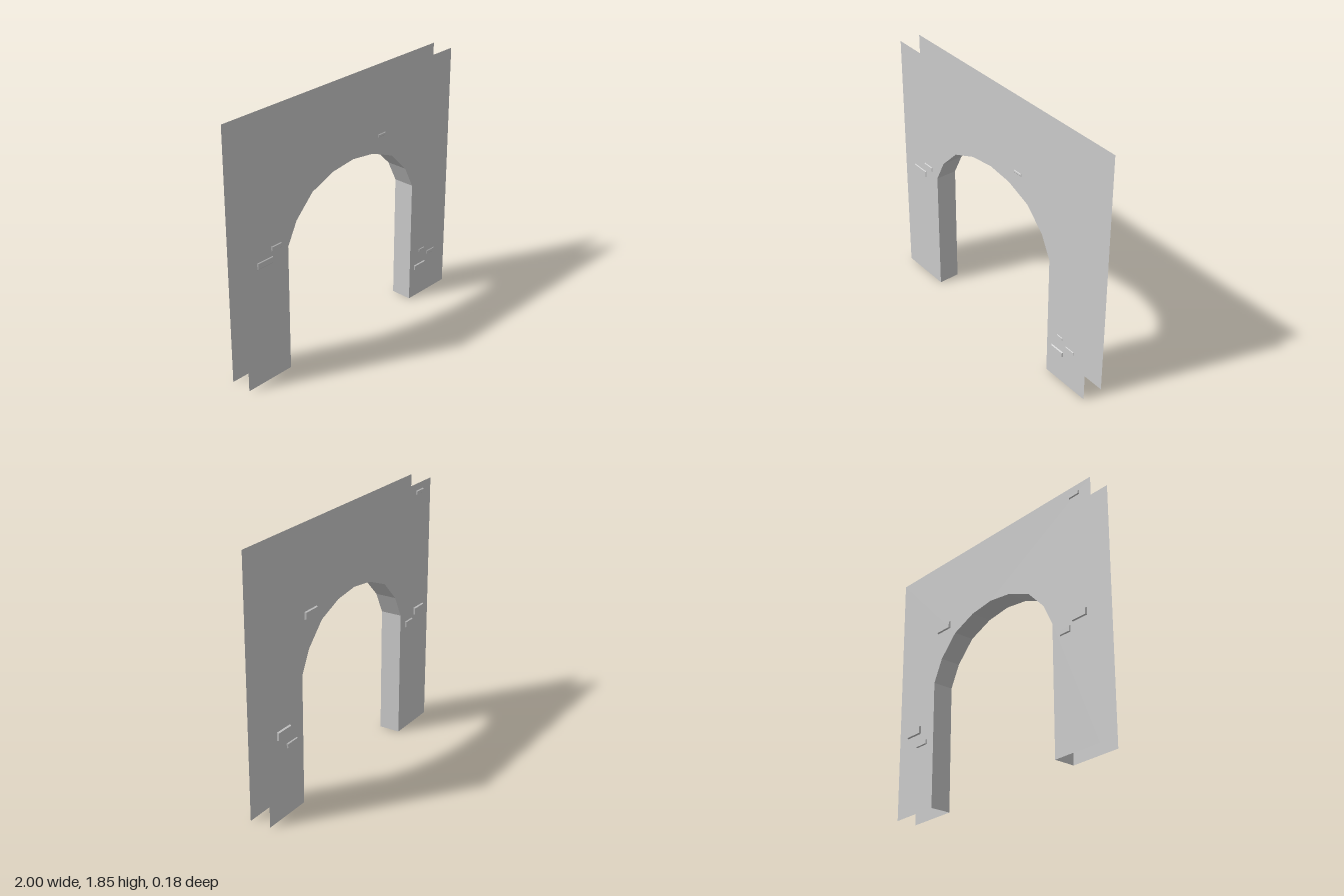
import * as THREE from 'three';

const FRONT = 0.08, BACK = -0.075;
const material = new THREE.MeshStandardMaterial({ color: 0xcccccc, flatShading: true, side: THREE.DoubleSide });

// Opening outline from the left foot, over the faceted arch, to the right foot
const half = [[0.615, 0], [0.615, 0.925], [0.535, 1.085], [0.387, 1.235], [0.194, 1.312]];
const opening = [
  ...half.map(([x, y]) => [-x, y]),
  [0, 1.337],
  ...half.slice().reverse(),
];

// Raised bricks: x min, x max, y min, y max, height above the wall
const frontBricks = [
  [-0.89, -0.75, 0.865, 0.915, 0.005],
  [-0.765, -0.674, 0.95, 0.985, 0.005],
  [0.245, 0.32, 1.412, 1.435, 0.004],
  [0.71, 0.77, 0.352, 0.376, 0.004],
  [0.80, 0.885, 0.298, 0.328, 0.004],
  [0.662, 0.78, 0.218, 0.258, 0.008],
];
const backBricks = [
  [-0.93, -0.80, 0.87, 0.924, 0.011],
  [-0.78, -0.684, 0.81, 0.856, 0.008],
  [0.444, 0.583, 1.296, 1.35, 0.011],
  [0.685, 0.80, 0.484, 0.52, 0.008],
  [0.76, 0.904, 0.582, 0.642, 0.013],
  [-0.895, -0.80, 1.77, 1.80, 0.008],
];

function addMesh(group, name, geometry) {
  const mesh = new THREE.Mesh(geometry, material);
  mesh.name = name;
  group.add(mesh);
  return mesh;
}

// Low block with slightly tapered sides and no hidden inner face
function brickGeometry(w, h, d) {
  const g = new THREE.BoxGeometry(w, h, d);
  g.translate(0, 0, d / 2);
  const p = g.attributes.position, bevel = 0.005;
  for (let i = 0; i < p.count; i++) {
    if (p.getZ(i) < d / 2) continue;
    p.setX(i, p.getX(i) - Math.sign(p.getX(i)) * bevel);
    p.setY(i, p.getY(i) - Math.sign(p.getY(i)) * bevel);
  }
  g.setIndex(Array.from(g.index.array).slice(0, 30));
  g.clearGroups();
  g.computeVertexNormals();
  return g;
}

function addBricks(group, name, bricks, z, facing) {
  const set = new THREE.Group();
  set.name = name;
  for (const [x0, x1, y0, y1, d] of bricks) {
    const brick = addMesh(set, 'brick', brickGeometry(x1 - x0, y1 - y0, d));
    brick.position.set((x0 + x1) / 2, (y0 + y1) / 2, z);
    if (facing < 0) brick.rotation.y = Math.PI;
  }
  group.add(set);
}

export function createModel() {
  const group = new THREE.Group();
  group.name = 'archedWall';

  // Two wall sheets with the arched doorway cut out
  const outline = [[-1, 0], ...opening, [1, 0], [1, 1.85], [-1, 1.85]];
  const shape = new THREE.Shape(outline.map(([x, y]) => new THREE.Vector2(x, y)));
  addMesh(group, 'frontWall', new THREE.ShapeGeometry(shape)).position.z = FRONT;
  const backWall = addMesh(group, 'backWall', new THREE.ShapeGeometry(shape));
  backWall.rotation.y = Math.PI;
  backWall.position.z = BACK;

  // Lining of the opening, joining both sheets; its ends and the wall's rim stay open
  const positions = [];
  for (let i = 0; i < opening.length - 1; i++) {
    const [ax, ay] = opening[i], [bx, by] = opening[i + 1];
    positions.push(
      ax, ay, FRONT, bx, by, BACK, bx, by, FRONT,
      ax, ay, FRONT, ax, ay, BACK, bx, by, BACK,
    );
  }
  const lining = new THREE.BufferGeometry();
  lining.setAttribute('position', new THREE.Float32BufferAttribute(positions, 3));
  lining.computeVertexNormals();
  addMesh(group, 'archLining', lining);

  addBricks(group, 'frontBricks', frontBricks, FRONT, 1);
  addBricks(group, 'backBricks', backBricks, BACK, -1);
  return group;
}
